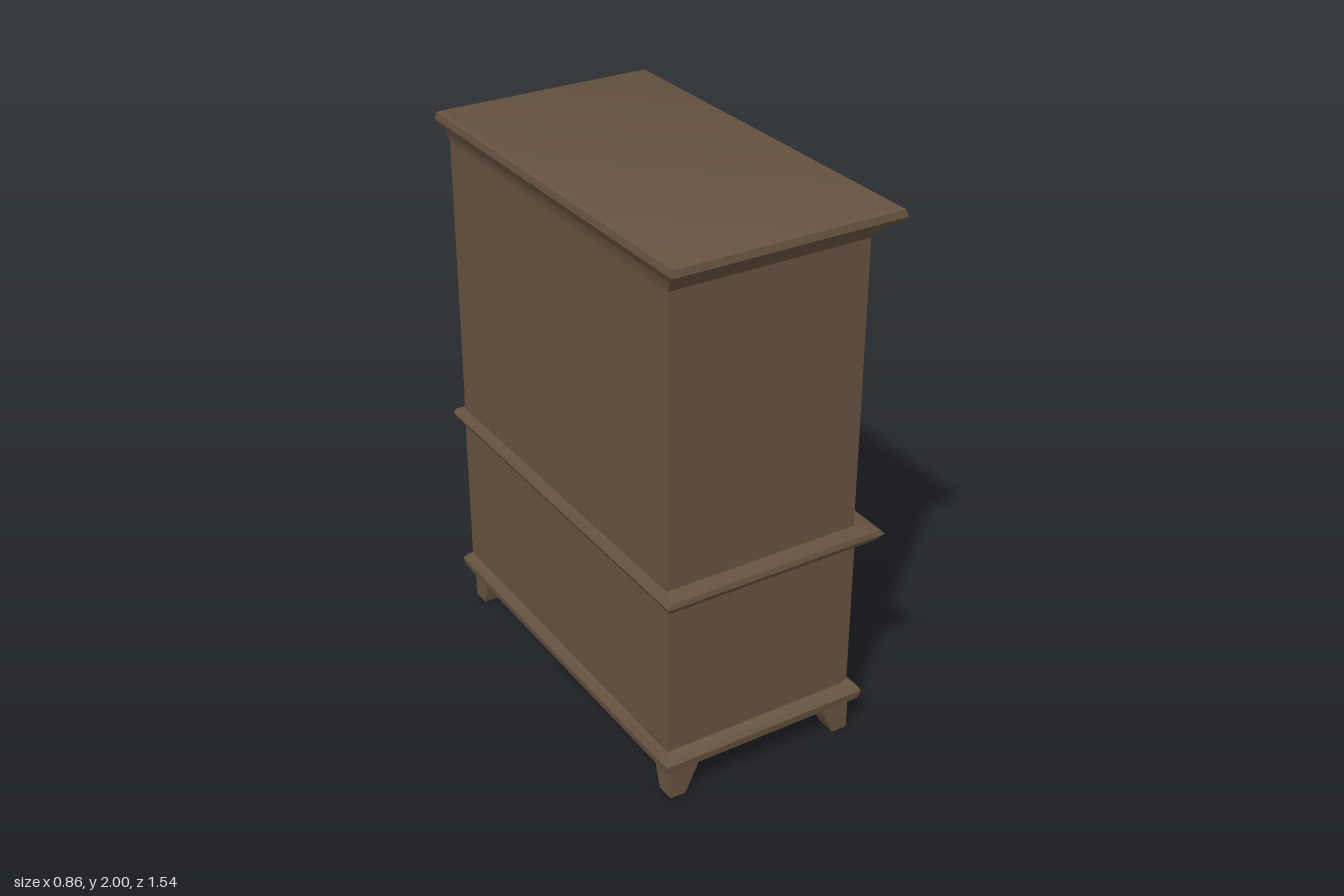
import * as THREE from 'three';
import { toCreasedNormals } from 'three/addons/utils/BufferGeometryUtils.js';

const wood = new THREE.MeshStandardMaterial({ color: 0x66523f });
wood.name = 'brown wood';

export function createModel() {
  const group = new THREE.Group();
  group.name = 'displayCabinet';

  const add = (name, geometry) => {
    const mesh = new THREE.Mesh(geometry, wood);
    mesh.name = name;
    group.add(mesh);
    return mesh;
  };

  // Box given by its limits on each axis
  const box = (name, x0, x1, y0, y1, z0, z1) =>
    add(name, new THREE.BoxGeometry(x1 - x0, y1 - y0, z1 - z0))
      .position.set((x0 + x1) / 2, (y0 + y1) / 2, (z0 + z1) / 2);

  // Stack of rectangular rings [y, x0, x1, z0, z1], from bottom to top, capped
  const loft = (name, rings) => {
    const pos = [], idx = [];
    for (const [y, x0, x1, z0, z1] of rings) pos.push(x0, y, z1, x1, y, z1, x1, y, z0, x0, y, z0);
    for (let r = 0; r < rings.length - 1; r++) {
      for (let i = 0; i < 4; i++) {
        const a = r * 4 + i, b = r * 4 + (i + 1) % 4;
        idx.push(a, b, b + 4, a, b + 4, a + 4);
      }
    }
    const t = (rings.length - 1) * 4;
    idx.push(0, 2, 1, 0, 3, 2, t, t + 1, t + 2, t, t + 2, t + 3);
    const g = new THREE.BufferGeometry();
    g.setAttribute('position', new THREE.Float32BufferAttribute(pos, 3));
    g.setIndex(idx);
    g.computeVertexNormals();
    return add(name, toCreasedNormals(g, 0.6));
  };

  // Upright board facing +x, with rectangular holes [z0, z1, y0, y1]
  const trace = (path, z0, z1, y0, y1) => {
    path.moveTo(-z0, y0);
    path.lineTo(-z1, y0);
    path.lineTo(-z1, y1);
    path.lineTo(-z0, y1);
    path.closePath();
    return path;
  };
  const board = (name, x0, x1, outer, holes, bevel = 0) => {
    const shape = trace(new THREE.Shape(), ...outer);
    for (const h of holes) shape.holes.push(trace(new THREE.Path(), ...h));
    const g = new THREE.ExtrudeGeometry(shape, {
      depth: x1 - x0 - bevel, bevelEnabled: bevel > 0, bevelThickness: bevel,
      bevelSize: bevel, bevelOffset: -bevel, bevelSegments: 1,
    });
    g.rotateY(Math.PI / 2);
    add(name, g).position.x = x0;
  };

  // Lower chest and floor of the glazed part
  box('lowerBody', -0.41, 0.315, 0.13, 0.81, -0.715, 0.715);
  box('cabinetFloor', -0.40, 0.30, 0.80, 0.94, -0.70, 0.70);

  // Upper case: back, sides and ceiling
  box('backPanel', -0.41, -0.36, 0.82, 1.94, -0.71, 0.71);
  for (const s of [-1, 1]) {
    box('sidePanel', -0.41, 0.325, 0.82, 1.94, Math.min(s * 0.65, s * 0.71), Math.max(s * 0.65, s * 0.71));
  }
  box('ceiling', -0.40, 0.31, 1.86, 1.94, -0.70, 0.70);

  // Front frame and the two raised door frames
  const windows = [[0.05, 0.56, 0.96, 1.78], [-0.56, -0.05, 0.96, 1.78]];
  board('frontFrame', 0.29, 0.33, [-0.71, 0.71, 0.82, 1.94], windows);
  for (const s of [-1, 1]) {
    const span = (a, b) => (s > 0 ? [a, b] : [-b, -a]);
    board('doorFrame', 0.31, 0.352, [...span(0.005, 0.64), 0.87, 1.85],
      [[...span(0.05, 0.56), 0.96, 1.78]], 0.012);
  }

  // Drawer surround with recessed fields
  const drawers = [];
  for (const [z0, z1] of [[0.06, 0.59], [-0.59, -0.06]]) {
    drawers.push([z0, z1, 0.22, 0.46], [z0, z1, 0.54, 0.72]);
  }
  board('drawerSurround', 0.30, 0.348, [-0.71, 0.71, 0.15, 0.81], drawers, 0.012);
  for (const [z0, z1, y0, y1] of drawers) {
    board('drawerFront', 0.30, 0.338, [z0 + 0.025, z1 - 0.025, y0 + 0.025, y1 - 0.025], [], 0.014);
  }

  // Pointed knobs on drawers and doors
  const knob = (name, y, z, length, radius) => {
    const m = add(name, new THREE.ConeGeometry(radius, length, 6));
    m.rotation.z = -Math.PI / 2;
    m.position.set(0.33 + length / 2, y, z);
  };
  for (const z of [-0.32, 0.32]) {
    knob('drawerKnob', 0.65, z, 0.08, 0.025);
    knob('drawerKnob', 0.35, z, 0.08, 0.025);
  }
  knob('doorKnob', 1.39, -0.025, 0.09, 0.03);
  knob('doorKnob', 1.39, 0.025, 0.07, 0.025);

  // Shelf and the things kept in the cabinet
  box('shelf', -0.37, 0.29, 1.39, 1.43, -0.66, 0.66);
  const item = (name, x, y, z0, z1, h, taper) => loft(name, [
    [y, x - 0.07, x + 0.07, z0, z1],
    [y + h, x - 0.05, x + 0.05, z0 + taper, z1 - taper],
  ]);
  item('shelfBowl', 0.05, 1.425, 0.26, 0.39, 0.06, 0.03);
  item('shelfJar', 0.05, 1.425, -0.19, -0.07, 0.11, 0.012);
  item('shelfBox', 0.05, 1.425, -0.57, -0.41, 0.12, 0.005);
  item('floorBox', 0.05, 0.935, -0.57, -0.45, 0.11, 0.01);
  loft('floorPile', [
    [0.935, -0.2, 0.15, 0.33, 0.64],
    [1.04, -0.2, 0.08, 0.44, 0.64],
    [1.18, -0.2, -0.05, 0.56, 0.64],
  ]);

  // Mouldings: foot, waist and cornice
  loft('baseMoulding', [
    [0.12, -0.40, 0.34, -0.71, 0.71],
    [0.135, -0.43, 0.365, -0.745, 0.745],
    [0.165, -0.435, 0.375, -0.75, 0.75],
    [0.19, -0.42, 0.36, -0.73, 0.73],
    [0.205, -0.405, 0.335, -0.71, 0.71],
  ]);
  loft('waistMoulding', [
    [0.78, -0.41, 0.345, -0.715, 0.715],
    [0.79, -0.425, 0.39, -0.75, 0.75],
    [0.81, -0.435, 0.425, -0.76, 0.76],
    [0.828, -0.425, 0.41, -0.755, 0.755],
    [0.85, -0.405, 0.335, -0.705, 0.705],
  ]);
  loft('cornice', [
    [1.90, -0.41, 0.33, -0.71, 0.71],
    [1.935, -0.415, 0.36, -0.73, 0.73],
    [1.95, -0.425, 0.40, -0.755, 0.755],
    [1.97, -0.435, 0.425, -0.77, 0.77],
    [1.995, -0.43, 0.415, -0.765, 0.765],
    [2.0, -0.42, 0.405, -0.755, 0.755],
  ]);

  // Tapered legs, upright on the outer corners
  for (const sx of [-1, 1]) {
    for (const sz of [-1, 1]) {
      const cx = sx > 0 ? 0.34 : -0.40;
      const ring = (y, w, d) => [y,
        Math.min(cx, cx - sx * w), Math.max(cx, cx - sx * w),
        Math.min(sz * 0.72, sz * (0.72 - d)), Math.max(sz * 0.72, sz * (0.72 - d))];
      loft('leg', [ring(0, 0.06, 0.07), ring(0.03, 0.075, 0.08), ring(0.14, 0.125, 0.11)]);
    }
  }

  return group;
}
